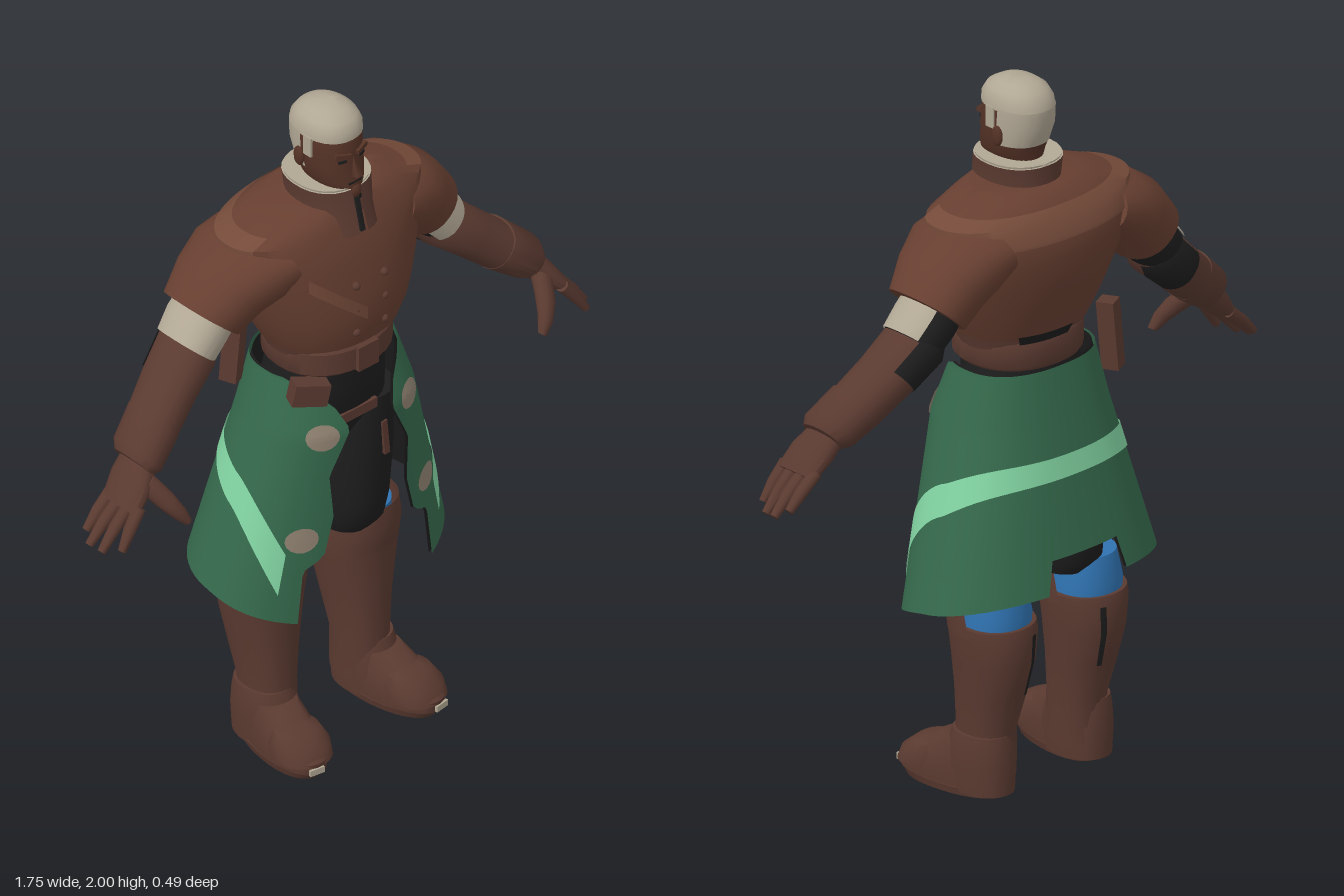
import * as THREE from 'three';
import { toCreasedNormals } from 'three/addons/utils/BufferGeometryUtils.js';

const mat = (name, color) => {
  const m = new THREE.MeshStandardMaterial({ color, side: THREE.DoubleSide });
  m.name = name;
  return m;
};
const M = {
  leather: mat('brown leather', 0x5a3a30),
  cape: mat('cape brown', 0x673f31),
  yoke: mat('light brown', 0x754b3a),
  skin: mat('skin', 0x543226),
  cream: mat('cream', 0xb1a794),
  black: mat('black cloth', 0x1d1d1d),
  green: mat('green cloth', 0x35694c),
  mint: mat('mint stripe', 0x82d4a2),
  tan: mat('tan patch', 0x918372),
  blue: mat('blue cloth', 0x2f72b0),
};
const { PI, sin, cos, abs, sign } = Math;
const pw = (v, p) => sign(v) * abs(v) ** p;

export function createModel() {
  const root = new THREE.Group();
  root.name = 'caped figure';
  const add = (name, geo, material, pos = [0, 0, 0], rot = [0, 0, 0]) => {
    const mesh = new THREE.Mesh(geo, material);
    mesh.name = name;
    mesh.position.set(...pos);
    mesh.rotation.set(...rot);
    root.add(mesh);
    return mesh;
  };

  // Surface over a grid of points; f(u, v) with u, v in 0..1
  const grid = (nu, nv, f, caps = false) => {
    const pos = [], idx = [], w = nv + 1;
    for (let i = 0; i <= nu; i++) for (let j = 0; j <= nv; j++) pos.push(...f(i / nu, j / nv, i));
    for (let i = 0; i < nu; i++) for (let j = 0; j < nv; j++) {
      const a = i * w + j, b = a + w;
      idx.push(a, b, a + 1, b, b + 1, a + 1);
    }
    if (caps) for (let j = 1; j < nv - 1; j++) {
      const e = nu * w;
      idx.push(0, j, j + 1, e, e + j + 1, e + j);
    }
    const g = new THREE.BufferGeometry();
    g.setAttribute('position', new THREE.Float32BufferAttribute(pos, 3));
    g.setIndex(idx);
    return toCreasedNormals(g, 0.75);
  };

  // Loft of rounded rings [x, y, z, radius, z radius] along a path in the xy plane
  const loft = (st, { seg = 28, p = 0.9, a0 = 0, a1 = 2 * PI, caps = a1 - a0 > 6.28, grow = 0 } = {}) => {
    const frames = st.map((s, i) => {
      const a = st[Math.max(0, i - 1)], b = st[Math.min(st.length - 1, i + 1)];
      const dx = b[0] - a[0], dy = b[1] - a[1], l = Math.hypot(dx, dy) || 1;
      return [dy / l, -dx / l];
    });
    return grid(st.length - 1, seg, (u, v, i) => {
      const [x, y, z, r, rz] = st[i], t = a0 + v * (a1 - a0);
      const c = (r + grow) * pw(cos(t), p);
      return [x + frames[i][0] * c, y + frames[i][1] * c, z + (rz + grow) * pw(sin(t), p)];
    }, caps);
  };
  // Upright loft section: height, half width, front z, back z, centre x
  const sec = (y, w, f, b, x = 0) => [x, y, (f + b) / 2, w, (f - b) / 2];
  const upright = (rows, x = 0) => rows.map(r => sec(...r, x));

  // Torso, yoke and belt
  add('coat waist', loft(upright([[1.27, 0.178, 0.165, -0.115], [1.33, 0.195, 0.18, -0.13], [1.42, 0.235, 0.19, -0.15]])), M.leather);
  add('cape body', loft(upright([[1.31, 0.2, 0.192, -0.13], [1.36, 0.227, 0.205, -0.15], [1.42, 0.252, 0.208, -0.17], [1.48, 0.275, 0.203, -0.187],
    [1.56, 0.305, 0.19, -0.2], [1.62, 0.325, 0.175, -0.195], [1.67, 0.325, 0.155, -0.17], [1.705, 0.225, 0.14, -0.135], [1.725, 0.165, 0.125, -0.11]]), { seg: 40 }), M.cape);
  add('shoulder yoke', loft(upright([[1.61, 0.322, 0.178, -0.197], [1.62, 0.325, 0.175, -0.195], [1.67, 0.325, 0.155, -0.17], [1.69, 0.268, 0.147, -0.15]]),
    { seg: 40, a0: PI * 0.86, a1: PI * 2.14, grow: 0.003 }), M.yoke);
  add('rear coat lining', loft(upright([[1.295, 0.185, 0.16, -0.125], [1.325, 0.21, 0.18, -0.14]]), { a0: PI * 1.45, a1: PI * 1.7, grow: 0.004 }), M.black);
  add('belt', loft(upright([[1.215, 0.17, 0.175, -0.125], [1.225, 0.178, 0.185, -0.13], [1.29, 0.178, 0.185, -0.13], [1.3, 0.17, 0.175, -0.125]])), M.leather);
  add('buckle', new THREE.BoxGeometry(0.07, 0.075, 0.02), M.leather, [0, 1.258, 0.185]);
  for (const x of [-0.05, 0.05]) for (const y of [1.36, 1.435, 1.51])
    add('button', new THREE.SphereGeometry(0.012, 10, 8), M.leather, [x, y, 0.2]);
  add('chest strap', grid(14, 2, (u, v) => {
    const x = -0.19 + u * 0.17, y = 1.555 - u * 0.14 + (v - 0.5) * 0.04;
    return [x, y, 0.016 + 0.197 * cos(Math.asin((abs(x) / 0.275) ** (1 / 0.9))) ** 0.9];
  }), M.yoke);
  add('sheath', new THREE.BoxGeometry(0.045, 0.2, 0.05), M.leather, [-0.212, 1.23, -0.105], [0.05, 0.4, -0.1]);
  add('front pouch', new THREE.BoxGeometry(0.1, 0.065, 0.05), M.leather, [-0.165, 1.19, 0.14], [0, -0.4, -0.2]);

  // Collar
  const open = { a0: PI / 2 + 0.1, a1: PI * 2.5 - 0.1 };
  add('collar', loft(upright([[1.65, 0.112, 0.178, -0.1], [1.71, 0.103, 0.158, -0.09], [1.778, 0.112, 0.145, -0.093]]), open), M.leather);
  add('collar lining', loft(upright([[1.7, 0.095, 0.142, -0.08], [1.776, 0.107, 0.14, -0.088]]), open), M.black);
  add('collar trim', loft(upright([[1.776, 0.107, 0.14, -0.088], [1.784, 0.109, 0.142, -0.09], [1.778, 0.112, 0.145, -0.093]]), open), M.cream);
  add('collar opening', new THREE.BoxGeometry(0.014, 0.1, 0.008), M.black, [0, 1.7, 0.158], [-0.25, 0, 0]);
  add('collar base', loft(upright([[1.7, 0.1, 0.15, -0.085], [1.735, 0.1, 0.14, -0.084]])), M.leather);

  // Head, hair and face
  const headRows = upright([[1.66, 0.065, 0.09, -0.05], [1.74, 0.058, 0.1, -0.04], [1.745, 0.036, 0.14, -0.04], [1.765, 0.055, 0.148, -0.045],
    [1.8, 0.073, 0.142, -0.048], [1.84, 0.081, 0.135, -0.063], [1.88, 0.083, 0.133, -0.075], [1.93, 0.082, 0.128, -0.077], [1.97, 0.068, 0.105, -0.055]]);
  add('head', loft(headRows), M.skin);
  add('hair top', loft(upright([[1.925, 0.082, 0.128, -0.078], [1.95, 0.08, 0.127, -0.073], [1.975, 0.068, 0.112, -0.055],
    [1.99, 0.047, 0.085, -0.03], [1.999, 0.02, 0.055, 0.005]]), { grow: 0.003 }), M.cream);
  add('hair back', loft(upright([[1.825, 0.078, 0.138, -0.055], [1.88, 0.083, 0.133, -0.075], [1.93, 0.082, 0.128, -0.078]]),
    { a0: PI * 1.02, a1: PI * 1.98, grow: 0.003 }), M.cream);
  add('nose', new THREE.ConeGeometry(0.017, 0.06, 4), M.skin, [0, 1.848, 0.142], [-0.3, PI / 4, 0]);
  add('mouth', new THREE.BoxGeometry(0.045, 0.005, 0.006), M.black, [0, 1.796, 0.14]);
  add('chin', new THREE.SphereGeometry(0.027, 12, 8), M.skin, [0, 1.766, 0.127]);
  for (const s of [-1, 1]) {
    add('brow', new THREE.BoxGeometry(0.045, 0.013, 0.014), M.skin, [s * 0.032, 1.884, 0.127], [0, s * 0.3, s * 0.15]);
    add('eye', new THREE.BoxGeometry(0.024, 0.008, 0.006), M.black, [s * 0.033, 1.866, 0.127], [0, s * 0.3, 0]);
    add('sideburn', new THREE.BoxGeometry(0.009, 0.06, 0.03), M.cream, [s * 0.082, 1.9, 0.045]);
    add('ear', new THREE.SphereGeometry(0.027, 10, 8), M.skin, [s * 0.087, 1.855, 0.015]).scale.set(0.4, 1.1, 0.7);
  }

  // Arms and hands
  for (const s of [-1, 1]) {
    const limb = (pts, o = {}) => {
      const { a0 = 0, a1 = 2 * PI } = o;
      return loft(pts.map(([x, ...r]) => [x * s, ...r]), { ...o, a0: s > 0 ? a0 : PI - a1, a1: s > 0 ? a1 : PI - a0 });
    };
    add('cape sleeve', limb([[0.2, 1.6, -0.015, 0.08, 0.165], [0.265, 1.575, -0.02, 0.105, 0.162], [0.33, 1.53, -0.028, 0.107, 0.14], [0.39, 1.462, -0.035, 0.098, 0.118]]), M.cape);
    const upper = [[0.33, 1.51, -0.04, 0.07, 0.085], [0.4, 1.435, -0.04, 0.072, 0.09], [0.445, 1.385, -0.035, 0.069, 0.085]];
    add('elbow sleeve', limb(upper), M.black);
    add('arm wrap', limb(upper, { a0: PI * 0.25, a1: PI * 1.25, grow: 0.006 }), M.cream);
    const fore = [[0.415, 1.4, -0.037, 0.058, 0.075], [0.438, 1.378, -0.034, 0.073, 0.09], [0.52, 1.307, -0.016, 0.068, 0.086],
      [0.62, 1.222, 0.015, 0.066, 0.08], [0.675, 1.178, 0.035, 0.06, 0.077]];
    add('forearm', limb(fore), M.leather);
    add('elbow back', limb(fore.slice(0, 3), { a0: PI * 1.25, a1: PI * 1.95, grow: 0.004 }), M.black);
    add('cuff', limb([[0.6, 1.242, 0.01, 0.07, 0.082], [0.68, 1.18, 0.035, 0.062, 0.082], [0.7, 1.165, 0.04, 0.046, 0.065]]), M.leather);
    add('palm', limb([[0.675, 1.175, 0.04, 0.036, 0.055], [0.72, 1.125, 0.055, 0.036, 0.07], [0.77, 1.07, 0.068, 0.023, 0.068]], { seg: 16 }), M.leather);
    [[0.012, 0.845, 1.0, 0.015], [0.05, 0.866, 0.98, 0.05], [0.087, 0.858, 0.975, 0.09], [0.122, 0.825, 0.985, 0.135]].forEach(([z, x, y, z2]) =>
      add('finger', limb([[0.752, 1.085, z, 0.018, 0.019], [(0.76 + x) / 2, (1.085 + y) / 2, (z + z2) / 2, 0.017, 0.018], [x, y, z2, 0.011, 0.012]], { seg: 10 }), M.leather));
    add('thumb', limb([[0.71, 1.14, 0.08, 0.03, 0.038], [0.68, 1.09, 0.135, 0.028, 0.032], [0.655, 1.05, 0.165, 0.022, 0.023], [0.632, 1.015, 0.178, 0.012, 0.013]], { seg: 12 }), M.leather);

    // Legs, boots and feet
    add('trouser leg', loft(upright([[0.57, 0.075, 0.06, -0.11], [0.61, 0.09, 0.09, -0.14], [0.68, 0.098, 0.105, -0.145],
      [0.85, 0.1, 0.12, -0.13], [1.04, 0.09, 0.13, -0.13]], s * 0.112)), M.black);
    add('thigh strap', new THREE.BoxGeometry(0.018, 0.11, 0.03), M.leather, [s * 0.12, 0.9, 0.115], [0, 0, s * 0.1]);
    add('knee lining', loft(upright([[0.46, 0.095, 0.04, -0.15], [0.53, 0.095, 0.05, -0.158], [0.61, 0.085, 0.06, -0.14]], s * 0.165)), M.blue);
    const shaft = [[0.06, 0.072, 0.065, -0.11], [0.19, 0.073, 0.058, -0.11], [0.3, 0.085, 0.06, -0.145],
      [0.4, 0.1, 0.065, -0.17], [0.48, 0.111, 0.07, -0.172], [0.505, 0.111, 0.073, -0.165]];
    add('boot shaft', loft(upright(shaft, s * 0.165)), M.leather);
    add('knee guard', loft(upright([[0.48, 0.111, 0.07, -0.172], [0.505, 0.111, 0.073, -0.165], [0.56, 0.107, 0.082, -0.14], [0.62, 0.098, 0.075, -0.12]], s * 0.165),
      { a0: -0.15, a1: PI + 0.15, grow: 0.001 }), M.leather);
    const slit = PI * (1.5 + s * -0.1);
    add('calf slit', loft(upright(shaft.slice(2, 5), s * 0.165), { a0: slit - 0.08, a1: slit + 0.08, seg: 3, grow: 0.003 }), M.black);
    add('ankle guard', loft(upright([[0.012, 0.074, 0.09, -0.118], [0.09, 0.08, 0.09, -0.12], [0.15, 0.076, 0.07, -0.115], [0.18, 0.07, 0.06, -0.11]], s * 0.177)), M.leather);
    const turn = [0, s * 0.15, 0], at = [0, 0, 0.045];
    add('sole', loft(upright([[0, 0.072, 0.2, -0.11], [0.022, 0.078, 0.214, -0.115]], s * 0.185)), M.leather, at, turn);
    add('foot', loft(upright([[0.022, 0.076, 0.218, -0.1], [0.055, 0.078, 0.222, -0.1], [0.1, 0.07, 0.17, -0.1], [0.15, 0.058, 0.08, -0.09]], s * 0.185)), M.leather, at, turn);
    add('toe guard', loft(upright([[0.045, 0.081, 0.22, 0.05], [0.08, 0.08, 0.205, 0.05], [0.112, 0.064, 0.165, 0.06], [0.125, 0.03, 0.13, 0.08]], s * 0.185)), M.leather, at, turn);
    add('toe tip', new THREE.BoxGeometry(0.045, 0.018, 0.008), M.cream, [s * 0.222, 0.034, 0.235], turn);
  }
  add('hips', loft(upright([[0.93, 0.05, 0.09, -0.12], [1.04, 0.185, 0.14, -0.14], [1.14, 0.18, 0.145, -0.12], [1.225, 0.165, 0.15, -0.11]])), M.black);
  add('crotch strap', new THREE.BoxGeometry(0.15, 0.03, 0.012), M.leather, [0, 1.045, 0.14]);

  // Long split skirt: angle 0 is the middle of the back, the opening is in front
  const P = 0.84;
  const size = y => {
    const k = Math.max(0, (1.22 - y) / 0.65);
    return [0.205 + 0.18 * k, 0.155 + 0.055 * Math.min(1, k * 4), -0.14 - 0.122 * k];
  };
  const skirt = (phi, y, off = 0) => {
    const [w, f, b] = size(y);
    return [(w + off) * pw(sin(phi), P), y, (f + b) / 2 - ((f - b) / 2 + off) * pw(cos(phi), P)];
  };
  const frontAngle = (x, y) => PI - Math.asin(Math.min(1, (x / size(y)[0]) ** (1 / P)));
  const edge = [[1.22, 0.2], [1.13, 0.105], [1.06, 0.075], [0.93, 0.14], [0.8, 0.13], [0.68, 0.16], [0.65, 0.22], [0.48, 0.24]];
  const edgeX = y => {
    const i = Math.max(1, edge.findIndex(e => e[0] <= y));
    const [y0, x0] = edge[i - 1], [y1, x1] = edge[i];
    return x0 + (x1 - x0) * (y0 - y) / (y0 - y1);
  };
  const hem = a => (a < 0.11 ? 0.71 : 0.62 - 0.13 * a * a);
  const cloth = off => grid(40, 80, (t, v) => {
    const u = v * 2 - 1, y = 1.215 + t * (hem(abs(u)) - 1.215);
    return skirt(u * frontAngle(edgeX(y), y), y, off);
  });
  add('skirt', cloth(0), M.green);
  add('skirt lining', cloth(-0.008), M.black);
  add('skirt stripe', grid(4, 80, (t, v) => {
    const a = (v * 2 - 1) * 0.905, b = abs(a);
    return skirt(a * 2.6, 0.95 - 0.41 * b ** 3.2 + (0.5 - t) * (0.06 + 0.075 * b * b), 0.004);
  }), M.mint);
  for (const s of [-1, 1]) for (const [x, y] of [[0.15, 1.055], [0.217, 0.75]])
    add('skirt patch', grid(3, 16, (r, v) => {
      const px = x + 0.042 * r * cos(v * 2 * PI), py = y + 0.038 * r * sin(v * 2 * PI);
      return skirt(s * frontAngle(px, py), py, 0.005);
    }), M.tan);

  return root;
}
